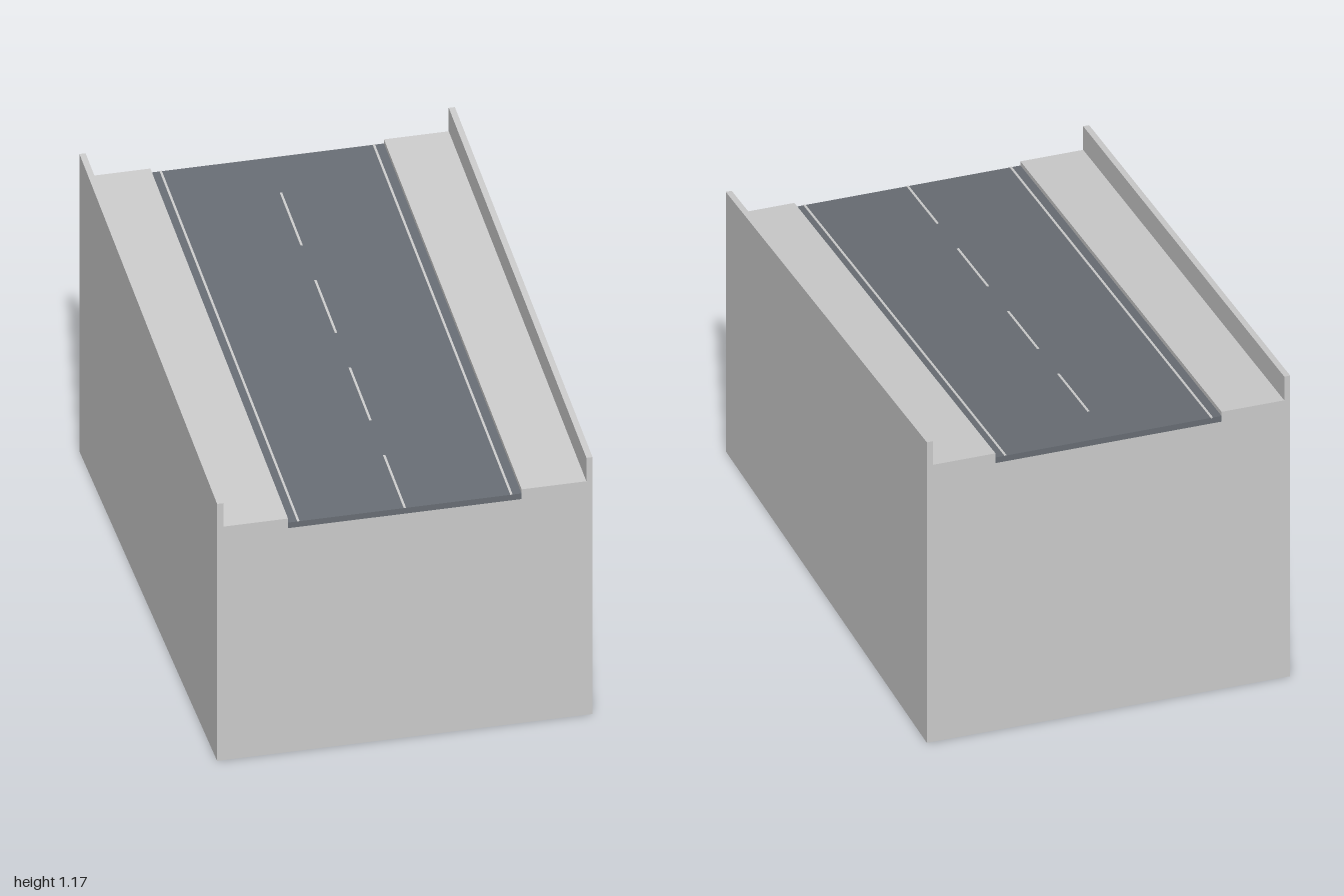
import * as THREE from 'three';

const RISE = 0.08; // climb per unit of length towards the back

// Extrudes a front cross-section along z and tilts everything above the ground.
function slopedPrism(name, points, material, front = 1, back = -1) {
  const shape = new THREE.Shape(points.map(([x, y]) => new THREE.Vector2(x, y)));
  const geometry = new THREE.ExtrudeGeometry(shape, { depth: front - back, bevelEnabled: false });
  geometry.translate(0, 0, back);
  const pos = geometry.attributes.position;
  for (let i = 0; i < pos.count; i++) {
    if (pos.getY(i) > 0.001) pos.setY(i, pos.getY(i) + RISE * (1 - pos.getZ(i)));
  }
  geometry.computeVertexNormals();
  const mesh = new THREE.Mesh(geometry, material);
  mesh.name = name;
  return mesh;
}

const rect = (x0, x1, y0, y1) => [[x0, y0], [x1, y0], [x1, y1], [x0, y1]];

export function createModel() {
  const group = new THREE.Group();
  group.name = 'roadRamp';
  const concrete = new THREE.MeshStandardMaterial({ color: 0xcccccc });
  const asphalt = new THREE.MeshStandardMaterial({ color: 0x686d74 });
  const paint = new THREE.MeshStandardMaterial({ color: 0xf0f0f0 });

  // Solid ramp body: side walls, pavements and the recess for the road
  const half = [[0.643, 0], [0.643, 1.01], [0.622, 1.01], [0.622, 0.918], [0.4, 0.918], [0.4, 0.88]];
  const mirrored = half.map(([x, y]) => [-x, y]).reverse();
  group.add(slopedPrism('rampBody', [...half, ...mirrored], concrete));

  // Road slab
  group.add(slopedPrism('roadSurface', rect(-0.4, 0.4, 0.88, 0.902), asphalt));

  // Continuous edge lines
  for (const [side, name] of [[1, 'leftEdgeLine'], [-1, 'rightEdgeLine']]) {
    const x = side * 0.365;
    group.add(slopedPrism(name, rect(x - 0.004, x + 0.004, 0.9, 0.904), paint));
  }

  // Dashed centre line
  for (let i = 0; i < 4; i++) {
    const front = 1 - i * 0.5;
    group.add(slopedPrism(`centreDash${i + 1}`, rect(-0.004, 0.004, 0.9, 0.904), paint, front, front - 0.3));
  }
  return group;
}
